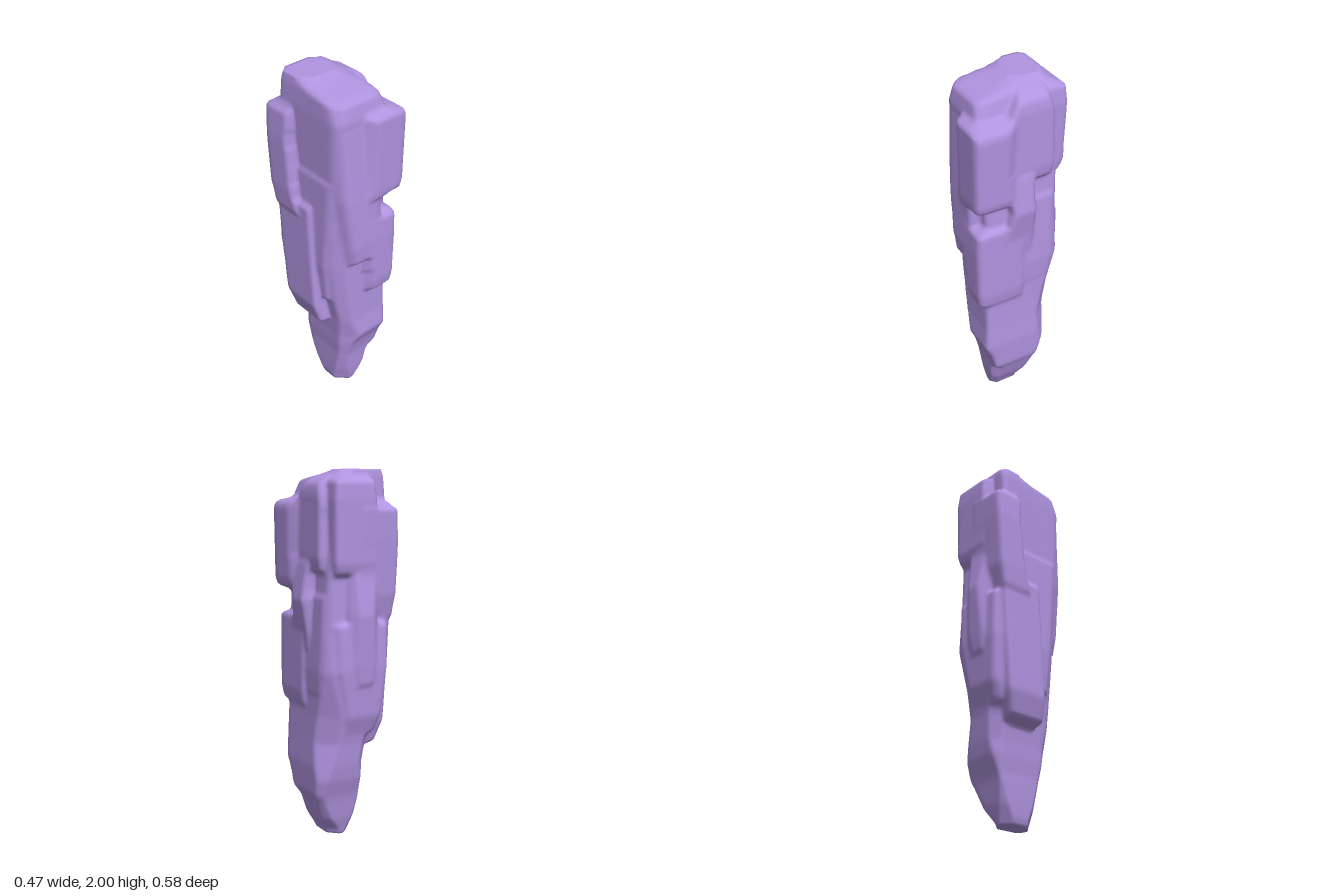
import * as THREE from 'three';

const ROWS = 150, COLS = 120, HEIGHT = 2;

// Rock masses as rings [y, x0, x1, z0, z1], bottom to top; the skin wraps around all of them.
// Four more values cut the corners (+x+z, +x-z, -x-z, -x+z).
const masses = {
  column: [
    [0, -0.06, 0.065, -0.07, 0.13, 0.03, 0.05, 0.05, 0.06],
    [0.03, -0.07, 0.08, -0.08, 0.14, 0.03, 0.06, 0.05, 0.07],
    [0.1, -0.075, 0.12, -0.1, 0.15, 0.03, 0.04, 0.03, 0.055],
    [0.21, -0.08, 0.16, -0.12, 0.16, 0.05, 0.03, 0.01, 0.04],
    [0.25, -0.08, 0.18, -0.13, 0.165, 0, 0.03, 0.01, 0.035],
    [0.34, -0.09, 0.185, -0.16, 0.19, 0, 0.04, 0.03, 0.045],
    [0.42, -0.095, 0.19, -0.175, 0.23, 0.01, 0.07, 0.05, 0.08],
    [0.55, -0.11, 0.185, -0.19, 0.22, 0, 0.1, 0.05, 0.05],
    [0.7, -0.14, 0.18, -0.22, 0.22, 0.01, 0.1, 0.04, 0.06],
    [0.95, -0.17, 0.18, -0.23, 0.22, 0.01, 0.035, 0.02, 0.06],
    [1.25, -0.18, 0.17, -0.22, 0.21, 0.01, 0.03, 0.02, 0.04],
    [1.5, -0.18, 0.155, -0.22, 0.22, 0.01, 0.02, 0.02, 0.03],
    [1.85, -0.19, 0.14, -0.2, 0.24, 0.01, 0.02, 0.01, 0.035],
    [1.95, -0.185, 0.11, -0.2, 0.22, 0.03, 0.02, 0.02, 0.05],
  ],
  crown: [
    [1.85, -0.19, 0.14, -0.2, 0.24, 0.03, 0.02, 0.01, 0.035],
    [1.955, -0.187, 0.11, -0.2, 0.2, 0.04, 0.02, 0.02, 0.05],
    [1.967, -0.185, 0.1, -0.2, 0.08, 0.04, 0.03, 0.02, 0.06],
    [2, -0.18, 0.05, -0.195, -0.02, 0.05, 0.05, 0.03, 0.06],
  ],
  crownShoulder: [
    [1.8, -0.05, 0.19, -0.18, 0.08],
    [1.87, -0.05, 0.19, -0.17, 0.07],
    [1.93, -0.05, 0.18, -0.15, 0.03],
    [1.97, -0.05, 0.12, -0.15, 0],
  ],
  // Front slabs, with a notch at the corner between them
  upperFrontSlab: [
    [1.37, 0.01, 0.21, 0.08, 0.285],
    [1.42, 0.01, 0.225, 0.08, 0.29],
    [1.8, 0, 0.23, 0.08, 0.29],
    [1.845, 0, 0.215, 0.08, 0.29],
  ],
  notchBacking: [
    [1.15, -0.02, 0.1, 0.05, 0.265],
    [1.42, -0.02, 0.1, 0.05, 0.27],
  ],
  lowerFrontSlab: [
    [0.74, 0.04, 0.19, 0, 0.26],
    [0.82, 0.03, 0.2, 0, 0.272],
    [1.1, 0, 0.2, 0, 0.275],
    [1.235, 0, 0.2, 0, 0.27],
  ],
  frontBulge: [
    [0.98, -0.1, 0.03, 0.05, 0.265, 0, 0, 0, 0.03],
    [1.1, -0.12, 0.04, 0.05, 0.275, 0, 0, 0, 0.03],
    [1.4, -0.16, 0.04, 0.05, 0.265, 0, 0, 0, 0.03],
    [1.8, -0.17, 0.04, 0.05, 0.24, 0, 0, 0, 0.02],
  ],
  // Back slabs; the upper one hangs over a step
  upperBackSlab: [
    [1.46, -0.1, 0.135, -0.25, 0],
    [1.52, -0.1, 0.145, -0.265, 0],
    [1.85, -0.1, 0.15, -0.272, 0],
    [1.95, -0.09, 0.14, -0.265, 0],
  ],
  middleBackSlab: [
    [0.88, -0.11, 0.04, -0.26, 0, 0, 0.04, 0.03, 0],
    [0.98, -0.12, 0.06, -0.27, 0, 0, 0.04, 0.03, 0],
    [1.25, -0.12, 0.06, -0.29, 0, 0, 0.05, 0.05, 0],
    [1.5, -0.13, 0.06, -0.25, 0, 0, 0.03, 0.03, 0],
  ],
  lowerBackSlab: [
    [0.6, -0.14, 0.07, -0.2, 0, 0, 0.03, 0.03, 0],
    [0.7, -0.16, 0.08, -0.235, 0, 0, 0.03, 0.02, 0],
    [0.95, -0.18, 0.12, -0.255, 0, 0, 0.02, 0.01, 0],
    [1.2, -0.18, 0.13, -0.25, 0, 0, 0.02, 0.01, 0],
  ],
  // Layers on the -x face
  upperSideLayer: [
    [1.22, -0.225, 0, -0.22, -0.03],
    [1.35, -0.235, 0, -0.25, -0.07],
    [1.65, -0.235, 0, -0.27, -0.1],
    [1.8, -0.225, 0, -0.275, -0.1],
  ],
  cornerLayer: [
    [1.75, -0.21, 0, -0.265, -0.1],
    [1.83, -0.2, 0, -0.24, -0.1],
  ],
  lowerSideLayer: [
    [0.51, -0.17, 0, -0.13, 0.09],
    [0.65, -0.21, 0, -0.17, 0.08],
    [0.95, -0.215, 0, -0.2, 0.06],
    [1.3, -0.215, 0, -0.22, 0.04],
  ],
  frontSideLayer: [
    [0.7, -0.165, 0, -0.1, 0.15, 0, 0, 0, 0.03],
    [0.95, -0.19, 0, -0.1, 0.17, 0, 0, 0, 0.04],
    [1.5, -0.19, 0, -0.1, 0.19, 0, 0, 0, 0.02],
  ],
  // Layers on the +x face
  sidePanel: [
    [1.48, 0, 0.185, -0.17, 0.15],
    [1.55, 0, 0.195, -0.18, 0.15],
    [1.84, 0, 0.19, -0.175, 0.15],
  ],
  sideBulge: [
    [1.05, 0, 0.19, -0.05, 0.09],
    [1.15, 0, 0.2, -0.06, 0.12],
    [1.32, 0, 0.23, -0.06, 0.08],
    [1.52, 0, 0.2, -0.06, 0.12],
  ],
  sideBackBulge: [
    [0.82, 0, 0.183, -0.15, 0.05],
    [0.95, 0, 0.19, -0.18, 0.05],
    [1.35, 0, 0.175, -0.19, 0.05],
  ],
};

// Cross-section of one mass at height y, as bounding lines [nx, nz, distance]
function sectionAt(rings, y) {
  const i = rings.findIndex((ring, k) => k > 0 && y <= ring[0]);
  if (i < 0 || y < rings[0][0]) return null;
  const t = (y - rings[i - 1][0]) / (rings[i][0] - rings[i - 1][0]);
  const [, x0, x1, z0, z1, pp = 0.01, pn = 0.01, nn = 0.01, np = 0.01] =
    rings[i].map((v, k) => THREE.MathUtils.lerp(rings[i - 1][k], v, t));
  return [
    [1, 0, x1], [-1, 0, -x0], [0, 1, z1], [0, -1, -z0],
    [1, 1, x1 + z1 - pp], [1, -1, x1 - z0 - pn], [-1, -1, -x0 - z0 - nn], [-1, 1, z1 - x0 - np],
  ];
}

// Distance at which a ray from (ox, oz) leaves the section, or 0 if it misses
function exitDistance(lines, ox, oz, dx, dz) {
  let enter = 0, leave = Infinity;
  for (const [nx, nz, d] of lines) {
    const speed = nx * dx + nz * dz;
    const t = (d - nx * ox - nz * oz) / speed;
    if (speed > 0) leave = Math.min(leave, t);
    else enter = Math.max(enter, t);
  }
  return leave > enter ? leave : 0;
}

// Slightly leaning axis that stays inside the rock
const axisAt = (y) => [0.01 - 0.025 * y, 0.03 - 0.055 * y];
const direction = (j) => {
  const a = (j + 0.37) / COLS * Math.PI * 2;
  return [Math.cos(a), -Math.sin(a)];
};

// Soften the edges of the skin
function blur(radii) {
  return radii.map((row, i) => row.map((r, j) => {
    const below = radii[Math.max(i - 1, 0)][j], above = radii[Math.min(i + 1, ROWS)][j];
    const before = row[(j + COLS - 1) % COLS], after = row[(j + 1) % COLS];
    return r * 0.5 + (below + above + before + after) * 0.125;
  }));
}

function skinGeometry() {
  let radii = [];
  for (let i = 0; i <= ROWS; i++) {
    const y = i / ROWS * HEIGHT, axis = axisAt(y);
    const sections = Object.values(masses).map((m) => sectionAt(m, y)).filter(Boolean);
    radii.push(Array.from({ length: COLS }, (_, j) =>
      Math.max(...sections.map((s) => exitDistance(s, ...axis, ...direction(j))))));
  }
  radii = blur(blur(radii));

  // Rows of the wall, with rows shrinking to a point at both ends
  const rows = radii.map((row, i) => ({ y: i / ROWS * HEIGHT, row, scale: 1 }));
  const ends = [0, 0.5, 0.88];
  const bottom = ends.map((scale) => ({ y: 0, row: radii[0], scale }));
  const top = ends.map((scale) => ({ y: HEIGHT, row: radii[ROWS], scale })).reverse();
  const all = [...bottom, ...rows, ...top];

  const position = [], index = [];
  all.forEach(({ y, row, scale }, i) => {
    const [ox, oz] = axisAt(y);
    row.forEach((r, j) => {
      const [dx, dz] = direction(j);
      position.push(ox + dx * r * scale, y, oz + dz * r * scale);
      if (i === all.length - 1) return;
      const a = i * COLS + j, b = i * COLS + (j + 1) % COLS;
      index.push(a, b, b + COLS, a, b + COLS, a + COLS);
    });
  });
  const geometry = new THREE.BufferGeometry();
  geometry.setAttribute('position', new THREE.Float32BufferAttribute(position, 3));
  geometry.setIndex(index);
  geometry.computeVertexNormals();
  return geometry;
}

export function createModel() {
  const group = new THREE.Group();
  group.name = 'rockPillar';
  const rock = new THREE.Mesh(skinGeometry(), new THREE.MeshStandardMaterial({ color: 0xb094e0 }));
  rock.name = 'rock';
  group.add(rock);
  return group;
}
